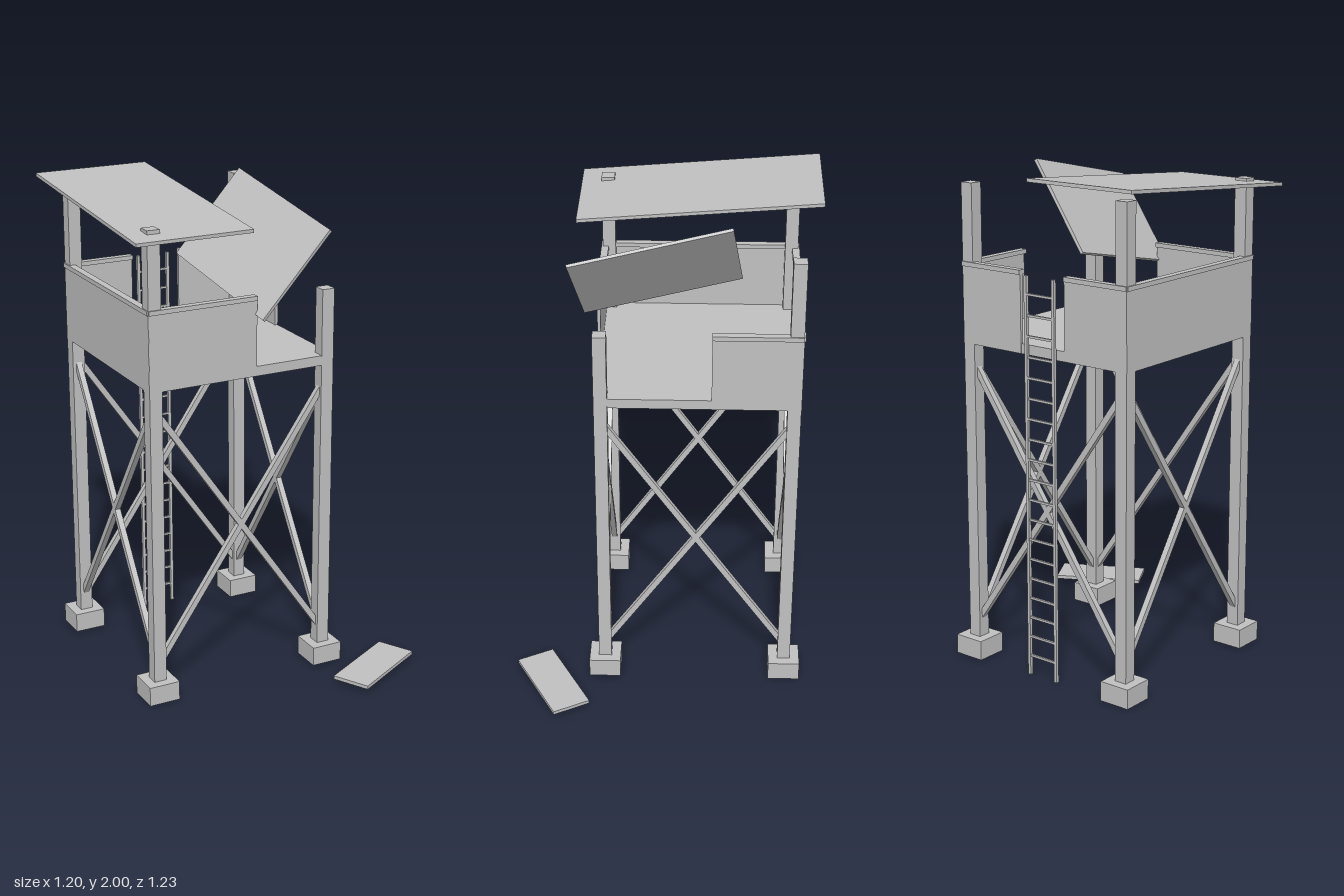
import * as THREE from 'three';

export function createModel() {
  const model = new THREE.Group();
  model.name = 'ruinedWatchtower';
  const grey = new THREE.MeshStandardMaterial({ color: 0xc0c0c0 });
  grey.name = 'plain grey';

  function box(name, w, h, d, x, y, z, parent = model) {
    const mesh = new THREE.Mesh(new THREE.BoxGeometry(w, h, d), grey);
    mesh.name = name;
    mesh.position.set(x, y, z);
    parent.add(mesh);
    return mesh;
  }

  // Tower is a square frame, offset from the origin
  const tower = new THREE.Group();
  tower.name = 'tower';
  tower.position.set(-0.118, 0, -0.135);
  model.add(tower);
  const half = 0.375, post = 0.053, edge = half + post / 2;

  // Posts and footings; the front corner on the model's left is broken short
  for (const sx of [-1, 1]) for (const sz of [-1, 1]) {
    const top = sx > 0 && sz > 0 ? 1.61 : 1.93;
    box('post', post, top - 0.04, post, sx * half, (top + 0.04) / 2, sz * half, tower);
    box('footing', 0.13, 0.08, 0.13, sx * half, 0.04, sz * half, tower);
  }

  // Crossed braces on all four sides
  const low = 0.14, high = 1.225;
  const run = 2 * half, rise = high - low;
  for (let side = 0; side < 4; side++) {
    const frame = new THREE.Group();
    frame.name = 'crossBraces';
    frame.rotation.y = side * Math.PI / 2;
    tower.add(frame);
    for (const s of [-1, 1]) {
      const brace = box('brace', Math.hypot(run, rise), 0.024, 0.024, 0, (low + high) / 2, half, frame);
      brace.rotation.z = s * Math.atan2(rise, run);
    }
  }

  // Platform floor
  box('floor', 2 * edge - 0.002, 0.04, 2 * edge - 0.002, 0, 1.32, 0, tower);

  // Wall panels with cap rails: side rotation, start and end along that side
  const walls = [
    ['frontWall', 0, -edge, 0.058],
    ['rightWall', -Math.PI / 2, -edge, edge],
    ['backWallLeft', Math.PI, -edge, -0.107],
    ['backWallRight', Math.PI, 0.107, edge],
    ['leftWall', Math.PI / 2, 0.055, edge],
  ];
  for (const [name, angle, a, b] of walls) {
    const wall = new THREE.Group();
    wall.name = name;
    wall.rotation.y = angle;
    tower.add(wall);
    box('panel', b - a, 0.31, 0.013, (a + b) / 2, 1.456, edge - 0.0055, wall);
    box('capRail', b - a, 0.018, 0.03, (a + b) / 2, 1.615, edge - 0.009, wall);
  }

  // Ladder against the back
  const ladder = new THREE.Group();
  ladder.name = 'ladder';
  ladder.position.set(-0.118, 0, -0.55);
  model.add(ladder);
  for (const s of [-1, 1]) box('ladderRail', 0.013, 1.61, 0.013, s * 0.067, 0.805, 0, ladder);
  for (let i = 1; i <= 19; i++) box('rung', 0.134, 0.009, 0.009, 0, i * 0.081, 0, ladder);

  // Remaining half of the roof, sloping down to the front
  const roof = box('roofSheet', 0.483, 0.014, 0.964, -0.3585, 1.941, -0.135);
  roof.rotation.x = 0.083;

  // Collapsed roof piece leaning on the front wall
  const fallen = box('collapsedRoofSheet', 0.428, 0.013, 0.64, 0.0425, 1.768, 0.028);
  const zAxis = new THREE.Vector3(0.062, -0.13, 0.627).normalize();
  const yAxis = zAxis.clone().cross(new THREE.Vector3(0.267, 0.335, 0.04)).normalize();
  const xAxis = yAxis.clone().cross(zAxis);
  fallen.quaternion.setFromRotationMatrix(new THREE.Matrix4().makeBasis(xAxis, yAxis, zAxis));

  // Wall board lying on the ground
  const board = box('fallenBoard', 0.373, 0.015, 0.16, 0.394, 0.023, 0.454);
  board.rotation.y = 0.495;

  return model;
}
